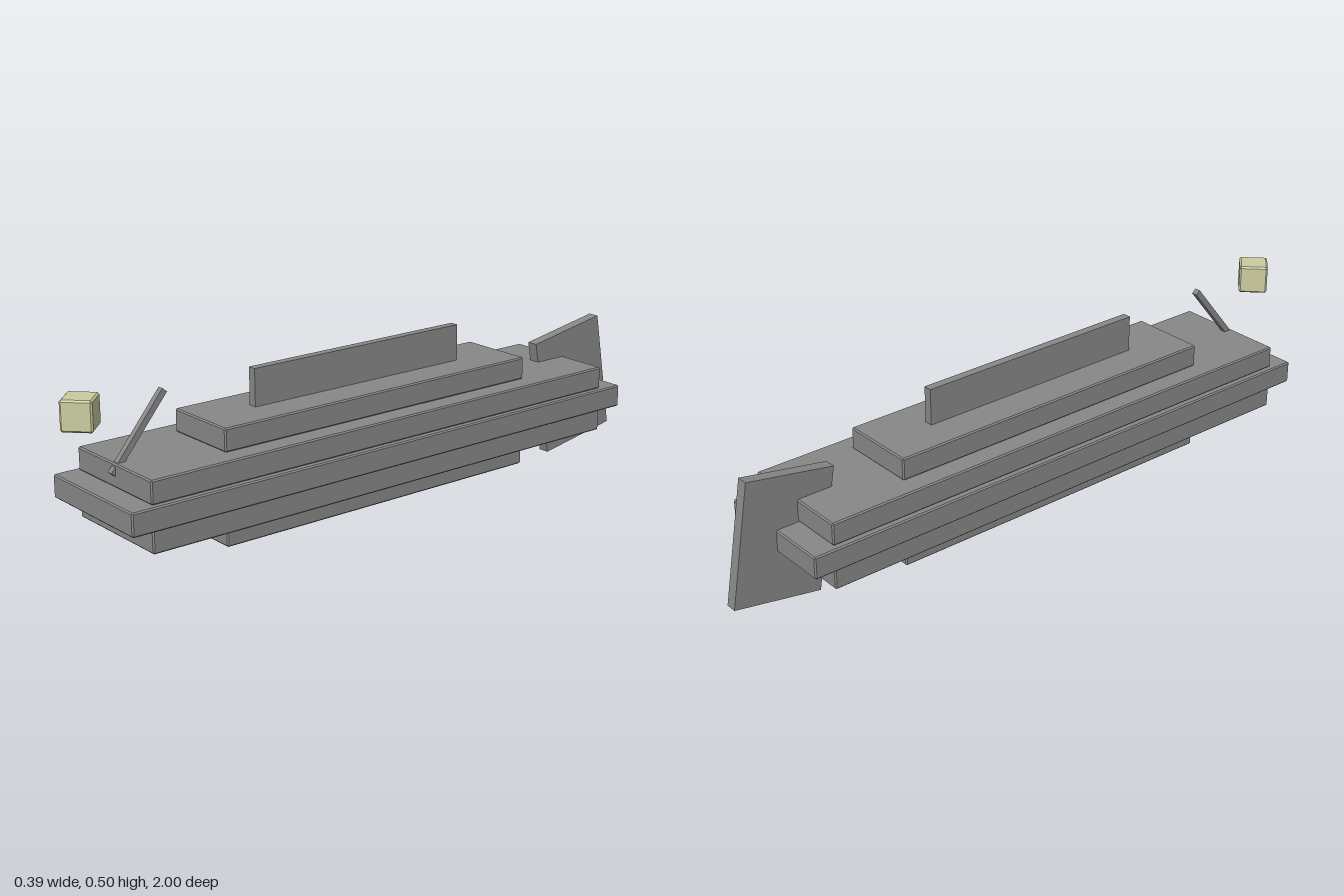
import * as THREE from 'three';
import { ConvexGeometry } from 'three/addons/geometries/ConvexGeometry.js';

// Box with a flat chamfer of size c on every edge
function chamferBox(w, h, d, c) {
  const points = [];
  for (const sx of [-1, 1]) for (const sy of [-1, 1]) for (const sz of [-1, 1]) {
    const x = w / 2, y = h / 2, z = d / 2;
    points.push(
      new THREE.Vector3(sx * x, sy * (y - c), sz * (z - c)),
      new THREE.Vector3(sx * (x - c), sy * y, sz * (z - c)),
      new THREE.Vector3(sx * (x - c), sy * (y - c), sz * z)
    );
  }
  return new ConvexGeometry(points);
}

export function createModel() {
  const grey = new THREE.MeshStandardMaterial({ color: 0x888888 });
  grey.name = 'bodyGrey';
  const cream = new THREE.MeshStandardMaterial({ color: 0xcccca0 });
  cream.name = 'lureCream';

  const model = new THREE.Group();
  model.name = 'blockFish';
  const add = (name, geometry, material, y, z, rx = 0, ry = 0) => {
    const mesh = new THREE.Mesh(geometry, material);
    mesh.name = name;
    mesh.position.set(0, y, z);
    mesh.rotation.set(rx, ry, 0);
    model.add(mesh);
  };

  // Body: five stacked slabs, widest in the middle [name, width, length]
  const slabs = [
    ['bellySlab', 0.236, 1.09],
    ['lowerSlab', 0.357, 1.634],
    ['middleSlab', 0.389, 1.774],
    ['upperSlab', 0.357, 1.634],
    ['backSlab', 0.236, 1.09],
  ];
  const slabHeight = 0.067;
  slabs.forEach(([name, width, length], i) =>
    add(name, chamferBox(width, slabHeight, length, 0.004), grey, 0.041 + slabHeight * (i + 0.5), 0.035));

  // Fins
  add('dorsalFin', new THREE.BoxGeometry(0.026, 0.115, 0.74), grey, 0.4275, 0.035);
  add('tailFin', new THREE.BoxGeometry(0.034, 0.369, 0.274), grey, 0.21, -0.829, 0.175);

  // Lure: leaning stalk and the block floating in front of it
  add('lureStalk', new THREE.BoxGeometry(0.018, 0.26, 0.018), grey, 0.379, 0.775, -0.69);
  add('lure', chamferBox(0.086, 0.086, 0.086, 0.005), cream, 0.466, 0.943, 0, Math.PI / 4);

  return model;
}
